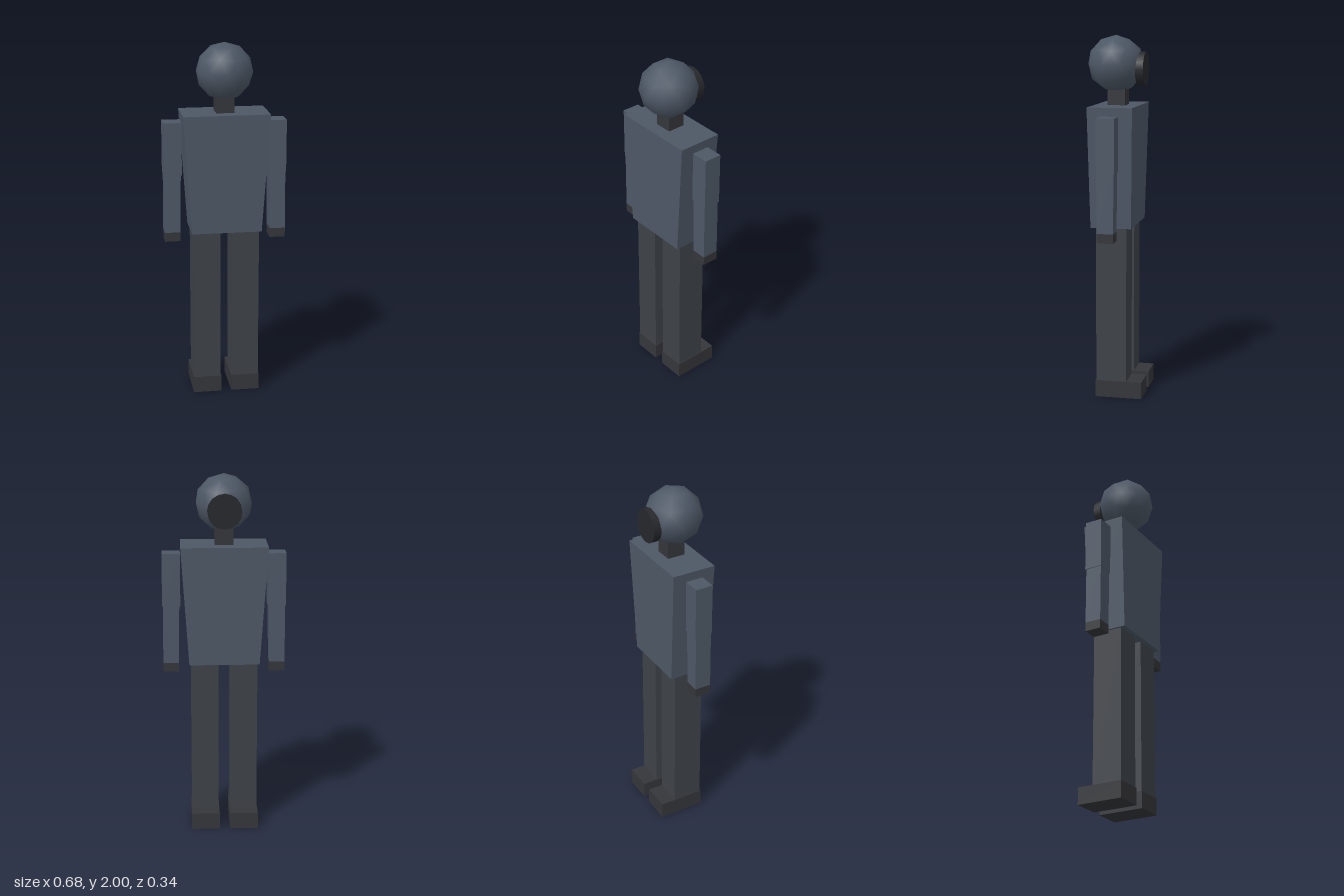
import * as THREE from 'three';

const mat = (color) => new THREE.MeshStandardMaterial({ color });
const cloth = mat(0x4d5866);
const trouser = mat(0x3e4248);
const dark = mat(0x35363a);
const black = mat(0x26282c);

// Box spanning y0..y1; bottom and top are [x0, x1, z0, z1] rectangles
function block(name, material, y0, y1, bottom, top = bottom) {
  const g = new THREE.BoxGeometry(1, 1, 1);
  const p = g.attributes.position;
  for (let i = 0; i < p.count; i++) {
    const up = p.getY(i) > 0;
    const r = up ? top : bottom;
    p.setXYZ(i, p.getX(i) > 0 ? r[1] : r[0], up ? y1 : y0, p.getZ(i) > 0 ? r[3] : r[2]);
  }
  g.computeVertexNormals();
  const mesh = new THREE.Mesh(g, material);
  mesh.name = name;
  return mesh;
}

// Rectangle moved to the given side of the body
const onSide = (s, x0, x1, z0, z1) => (s > 0 ? [x0, x1, z0, z1] : [-x1, -x0, z0, z1]);

export function createModel() {
  const model = new THREE.Group();
  model.name = 'figure';

  // Torso, wider at the shoulders, and neck
  model.add(
    block('torso', cloth, 0.96, 1.62, [-0.194, 0.194, -0.113, 0.113], [-0.238, 0.238, -0.126, 0.122]),
    block('neck', dark, 1.61, 1.73, [-0.05, 0.05, -0.05, 0.05])
  );

  // Faceted round head, turned so that one corner points straight up
  const headGeo = new THREE.IcosahedronGeometry(0.157, 1);
  headGeo.rotateZ(-Math.atan(2 / (1 + Math.sqrt(5))));
  const head = new THREE.Mesh(headGeo, cloth);
  head.name = 'head';
  head.position.set(0, 1.843, 0.011);
  model.add(head);

  // Round plate on the head
  const plateGeo = new THREE.CylinderGeometry(0.093, 0.093, 0.044, 16);
  plateGeo.rotateX(Math.PI / 2);
  const plate = new THREE.Mesh(plateGeo, black);
  plate.name = 'facePlate';
  plate.position.set(0, 1.818, -0.134);
  model.add(plate);

  // Arms and legs
  for (const s of [1, -1]) {
    const side = s > 0 ? 'left' : 'right';
    const arm = new THREE.Group();
    arm.name = side + 'Arm';
    arm.add(
      block('upperArm', cloth, 1.28, 1.573, onSide(s, 0.24, 0.34, -0.052, 0.048)),
      block('forearm', cloth, 0.955, 1.28,
        onSide(s, 0.252, 0.338, -0.046, 0.046), onSide(s, 0.246, 0.336, -0.047, 0.046)),
      block('hand', dark, 0.904, 0.955, onSide(s, 0.252, 0.338, -0.046, 0.046))
    );
    const leg = new THREE.Group();
    leg.name = side + 'Leg';
    leg.add(
      block('legTube', trouser, 0.09, 0.965, onSide(s, 0.033, 0.184, -0.085, 0.085)),
      block('foot', dark, 0, 0.094, onSide(s, 0.029, 0.188, -0.171, 0.09))
    );
    model.add(arm, leg);
  }

  return model;
}
